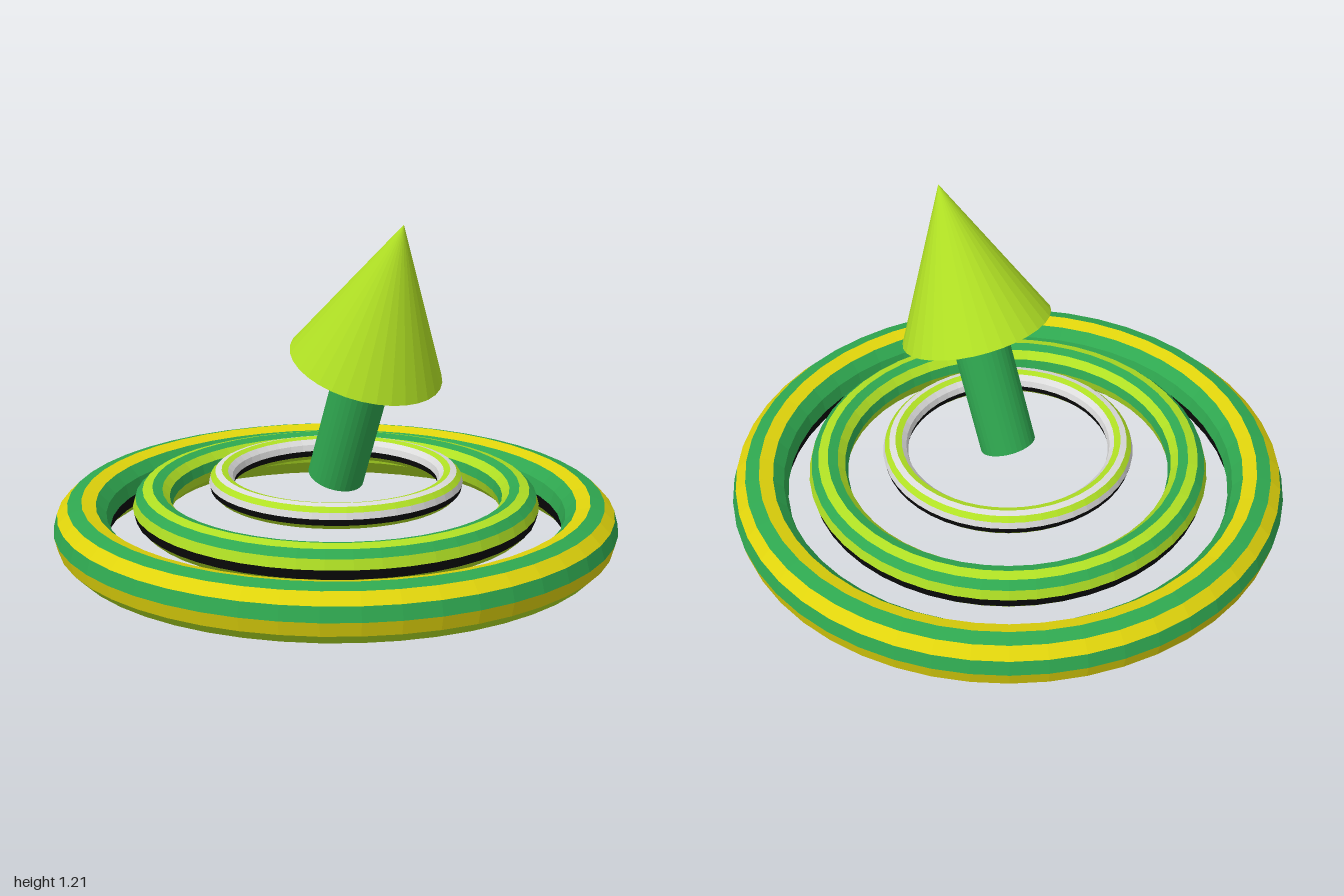
import * as THREE from 'three';

const mat = (name, color) => {
  const m = new THREE.MeshStandardMaterial({ color, flatShading: true });
  m.name = name;
  return m;
};

export function createModel() {
  const model = new THREE.Group();
  const G = mat('green', 0x2fa850);
  const L = mat('lime', 0xb0e024);
  const Y = mat('yellow', 0xe0d40c);
  const W = mat('pale grey', 0xdcdcdc);
  const K = mat('black', 0x0a0a0a);

  // Flat-lying ring with one colour per lengthwise band.
  // Bands start at the outermost edge and run over the top, inward, then underneath.
  function ring(name, radius, tube, y, bands) {
    const segments = 48;
    const geo = new THREE.TorusGeometry(radius, tube, bands.length, segments);
    geo.rotateX(-Math.PI / 2);
    geo.clearGroups();
    const count = segments * 6;
    bands.forEach((_, i) => geo.addGroup(i * count, count, i));
    const mesh = new THREE.Mesh(geo, bands);
    mesh.name = name;
    mesh.position.y = y;
    model.add(mesh);
  }
  ring('outerRing', 0.9, 0.1, 0.1, [G, Y, G, Y, G, G, K, L, L, L, L, Y]);
  ring('middleRing', 0.65, 0.07, 0.17, [L, G, L, G, L, G, L, L, L, L, L, K]);
  ring('innerRing', 0.405, 0.045, 0.25, [W, L, W, L, W, W, K, L, L, L, L, K]);

  // Tilted pointer: shaft and cone share one leaning axis
  const pointer = new THREE.Group();
  pointer.name = 'pointer';
  pointer.position.set(0, 0.265, 0);
  pointer.rotation.z = -THREE.MathUtils.degToRad(19.5);
  const shaftLength = 0.465, coneHeight = 0.54;

  const shaft = new THREE.Mesh(
    new THREE.CylinderGeometry(0.1, 0.1, shaftLength, 32), [G, G, K]);
  shaft.name = 'shaft';
  shaft.position.y = shaftLength / 2;

  const cone = new THREE.Mesh(new THREE.ConeGeometry(0.27, coneHeight, 32), L);
  cone.name = 'coneTip';
  cone.position.y = shaftLength + coneHeight / 2;

  pointer.add(shaft, cone);
  model.add(pointer);
  return model;
}
